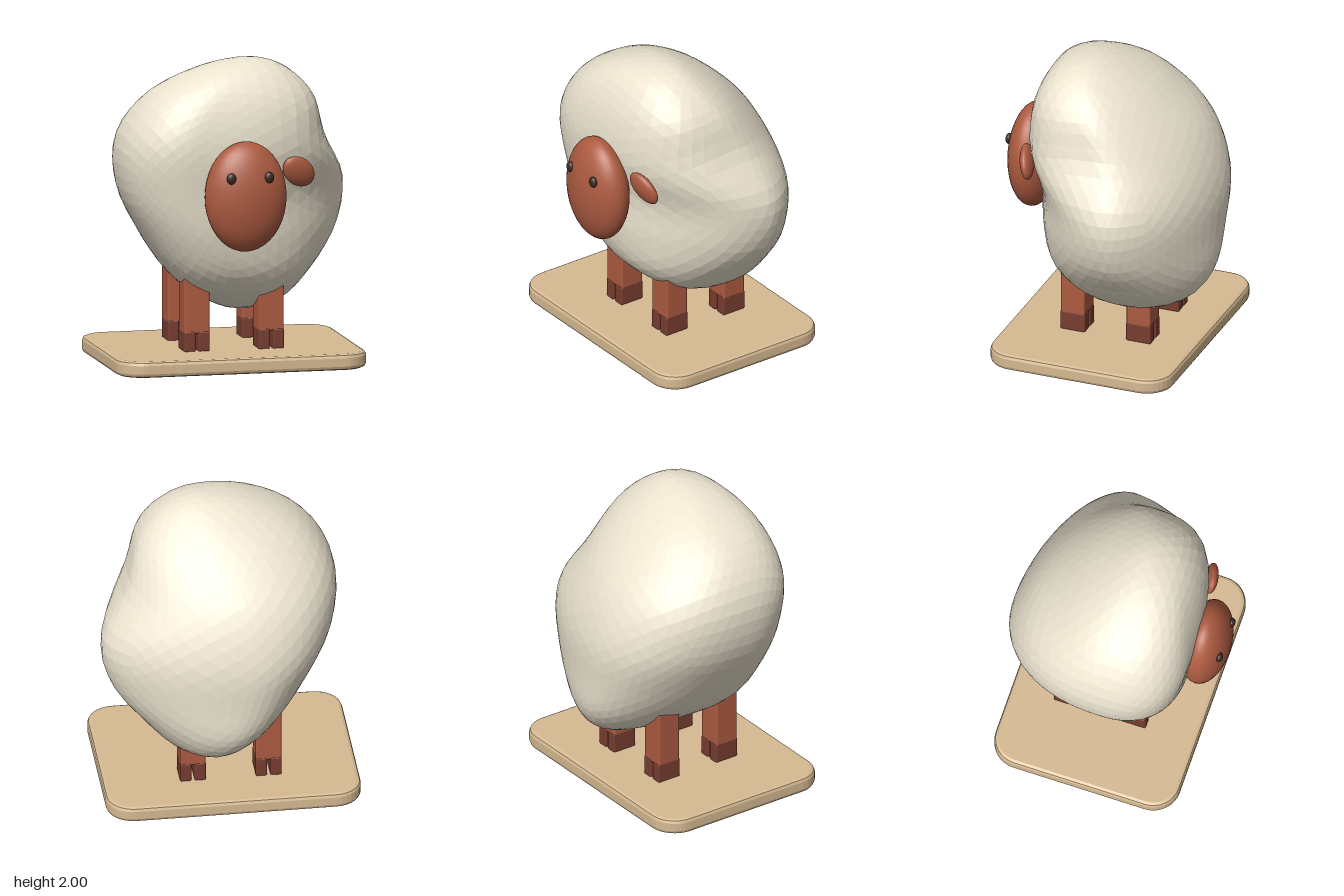
import * as THREE from 'three';
import { RoundedBoxGeometry } from 'three/addons/geometries/RoundedBoxGeometry.js';

const mat = (color, flatShading = false) => new THREE.MeshStandardMaterial({ color, flatShading });

function add(parent, name, geometry, material, x = 0, y = 0, z = 0) {
  const mesh = new THREE.Mesh(geometry, material);
  mesh.name = name;
  mesh.position.set(x, y, z);
  parent.add(mesh);
  return mesh;
}

const ellipsoid = (rx, ry, rz) => new THREE.SphereGeometry(1, 32, 20).scale(rx, ry, rz);

// Lumpy fleece: four spines run from the bottom to the top of the body, and
// the vertices of a sphere are moved onto rounded sections between them.
function fleeceGeometry() {
  const spine = (xs, zs) => new THREE.CatmullRomCurve3(
    xs.map((x, i) => new THREE.Vector3(x, 0, zs[i])), false, 'catmullrom', 0.5);
  const left = spine([0.14, 0.38, 0.57, 0.77, 0.82, 0.645, 0.55, 0.36, 0.13],
    [-0.22, -0.22, -0.22, -0.22, -0.21, -0.12, 0.02, 0.1, 0.12]);
  const right = spine([0.14, -0.08, -0.35, -0.55, -0.705, -0.72, -0.55, -0.22, 0.13],
    [-0.22, -0.1, 0.07, 0.06, 0.05, 0.06, 0.1, 0.12, 0.12]);
  const front = spine([0.14, 0.1, 0.0, -0.12, -0.24, -0.27, -0.15, 0.04, 0.13],
    [-0.22, 0.12, 0.365, 0.475, 0.51, 0.53, 0.47, 0.34, 0.12]);
  const back = spine([0.14, 0.12, 0.05, -0.03, -0.09, -0.08, 0.0, 0.08, 0.13],
    [-0.22, -0.53, -0.69, -0.72, -0.715, -0.59, -0.34, -0.08, 0.12]);

  // Roundness of each quarter section; the front left one changes with height
  const frontLeft = new THREE.SplineCurve(
    [2, 2.4, 2.3, 1.9, 1.95, 3.1, 3.1, 2.4, 2].map((n, i) => new THREE.Vector2(i, n)));
  const roundness = (c, s, t) => {
    if (s < 0) return c < 0 ? 2.2 : 1.8;
    return c < 0 ? 2.4 : frontLeft.getPoint(t).y;
  };

  const geometry = new THREE.IcosahedronGeometry(1, 9);
  const pos = geometry.attributes.position;
  for (let i = 0; i < pos.count; i++) {
    const dy = THREE.MathUtils.clamp(pos.getY(i), -1, 1);
    const t = 0.5 + Math.asin(dy) / Math.PI;
    const angle = Math.atan2(pos.getZ(i), pos.getX(i));
    const c = Math.cos(angle), s = Math.sin(angle);
    const n = roundness(c, s, t);
    const r = Math.pow(Math.abs(c) ** n + Math.abs(s) ** n, -1 / n);
    const side = (c >= 0 ? left : right).getPoint(t);
    const end = (s >= 0 ? front : back).getPoint(t);
    pos.setXYZ(i,
      end.x + (side.x - end.x) * Math.abs(c) * r,
      1.155 + 0.845 * dy,
      side.z + (end.z - side.z) * Math.abs(s) * r);
  }
  geometry.computeVertexNormals();
  return geometry;
}

// Rounded slab with a small bevel
function baseGeometry(halfX, halfZ, height, radius, bevel) {
  const x = halfX - bevel, z = halfZ - bevel, r = radius - bevel;
  const shape = new THREE.Shape();
  [[1, 1], [-1, 1], [-1, -1], [1, -1]].forEach(([sx, sz], i) =>
    shape.absarc(sx * (x - r), sz * (z - r), r, i * Math.PI / 2, (i + 1) * Math.PI / 2, false));
  shape.closePath();
  return new THREE.ExtrudeGeometry(shape, {
    depth: height - 2 * bevel, bevelEnabled: true, bevelSize: bevel,
    bevelThickness: bevel, bevelSegments: 2, curveSegments: 4,
  }).rotateX(-Math.PI / 2).translate(0, bevel, 0);
}

export function createModel() {
  const model = new THREE.Group();
  model.name = 'sheep';
  const wool = mat(0xece4d0, true);
  const skin = mat(0xad5b40);
  const hoof = mat(0x783d30);
  const dark = mat(0x3b2a24);

  add(model, 'base', baseGeometry(0.83, 0.627, 0.105, 0.18, 0.025), mat(0xd6ba92, true), 0, 0, -0.031);
  add(model, 'fleece', fleeceGeometry(), wool);

  // Head and face
  add(model, 'head', ellipsoid(0.27, 0.36, 0.16), skin, 0, 1.16, 0.56);
  for (const side of [1, -1]) {
    const name = side > 0 ? 'left' : 'right';
    add(model, name + 'Eye', ellipsoid(0.031, 0.037, 0.022), dark, side * 0.125, 1.3, 0.69);
    const ear = add(model, name + 'Ear', ellipsoid(0.125, 0.09, 0.042), skin, side * 0.375, 1.295, 0.466);
    ear.rotation.set(0.22, side * 0.16, -side * 0.72);
  }

  // Four legs, each with a cloven hoof
  for (const x of [0.247, -0.247]) {
    for (const z of [0.168, -0.288]) {
      const leg = new THREE.Group();
      leg.name = (z > 0 ? 'front' : 'back') + (x > 0 ? 'Left' : 'Right') + 'Leg';
      leg.position.set(x, 0, z);
      add(leg, 'shank', new RoundedBoxGeometry(0.168, 0.46, 0.165, 2, 0.012), skin, 0, 0.45, 0);
      for (const s of [1, -1])
        add(leg, 'toe', new RoundedBoxGeometry(0.075, 0.135, 0.172, 2, 0.012), hoof, s * 0.047, 0.168, 0);
      model.add(leg);
    }
  }
  return model;
}
